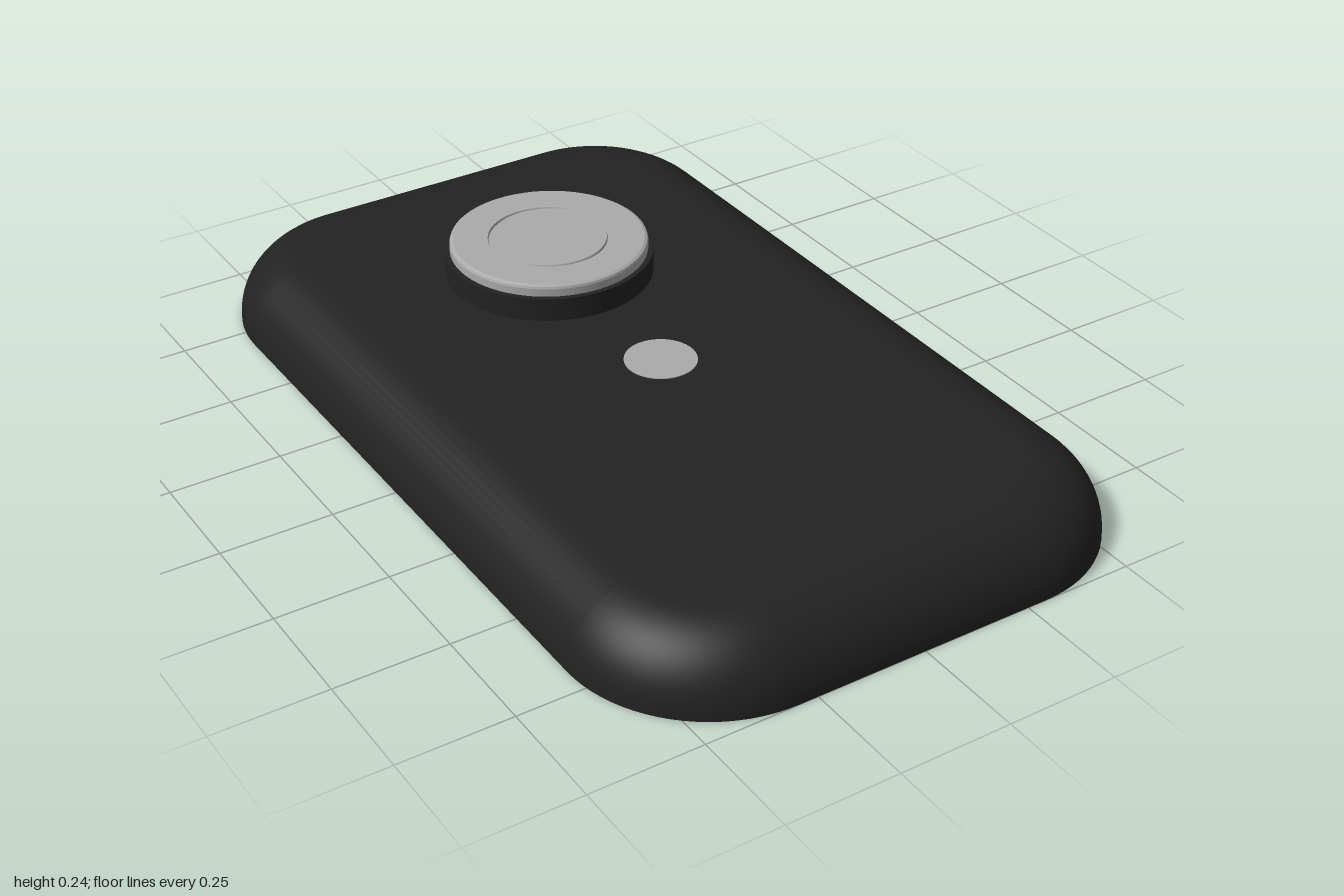
import * as THREE from 'three';

const HALF_W = 0.605, HALF_L = 1, CORNER = 0.31, HEIGHT = 0.16, FILLET = 0.155;
const black = new THREE.MeshStandardMaterial({ color: 0x222222 });
const grey = new THREE.MeshStandardMaterial({ color: 0xaaaaaa });

// Rounded-rectangle outline, pulled inwards by inset, as [x, z] points
function outline(inset, steps = 20) {
  const pts = [], r = CORNER - inset;
  const cx = HALF_W - CORNER, cz = HALF_L - CORNER;
  [[1, 1], [-1, 1], [-1, -1], [1, -1]].forEach(([sx, sz], q) => {
    for (let i = 0; i <= steps; i++) {
      const a = (q + i / steps) * Math.PI / 2;
      pts.push([sx * cx + r * Math.cos(a), sz * cz + r * Math.sin(a)]);
    }
  });
  return pts;
}

// Side wall lofted through the outline along a quarter-round edge
function shellGeometry() {
  const pos = [], idx = [], rings = 16;
  const n = outline(0).length;
  for (let k = -1; k <= rings; k++) {
    const a = Math.max(k, 0) / rings * Math.PI / 2;
    const y = k < 0 ? 0 : HEIGHT - FILLET + FILLET * Math.sin(a);
    for (const [x, z] of outline(FILLET * (1 - Math.cos(a)))) pos.push(x, y, z);
  }
  for (let k = 0; k <= rings; k++) {
    for (let i = 0; i < n; i++) {
      const a = k * n + i, b = k * n + (i + 1) % n;
      idx.push(a, a + n, b, b, a + n, b + n);
    }
  }
  const g = new THREE.BufferGeometry();
  g.setAttribute('position', new THREE.Float32BufferAttribute(pos, 3));
  g.setIndex(idx);
  g.computeVertexNormals();
  return g;
}

// Flat cap facing up or down
function capGeometry(inset, y, up) {
  const shape = new THREE.Shape(outline(inset).map(([x, z]) => new THREE.Vector2(x, z)));
  return new THREE.ShapeGeometry(shape).rotateX(up ? -Math.PI / 2 : Math.PI / 2).translate(0, y, 0);
}

// Turned part; every straight run gets its own lathe so its edges stay crisp
function turned(name, profile, material) {
  const group = new THREE.Group();
  group.name = name;
  for (let i = 0; i < profile.length - 1; i++) {
    const pair = [profile[i], profile[i + 1]].map(([r, y]) => new THREE.Vector2(r, y));
    const mesh = new THREE.Mesh(new THREE.LatheGeometry(pair, 72), material);
    mesh.name = name + 'Surface';
    group.add(mesh);
  }
  return group;
}

export function createModel() {
  const model = new THREE.Group();
  model.name = 'remote';
  const add = (name, geometry, material) => {
    const mesh = new THREE.Mesh(geometry, material);
    mesh.name = name;
    model.add(mesh);
  };

  // Case
  add('caseWall', shellGeometry(), black);
  add('caseTop', capGeometry(FILLET, HEIGHT, true), black);
  add('caseBottom', capGeometry(0, 0, false), black);

  // Raised collar and dial with a fine groove around its centre
  const collar = turned('dialCollar', [[0.235, 0.15], [0.235, 0.214], [0, 0.214]], black);
  const dial = turned('dial', [
    [0.223, 0.21], [0.223, 0.232], [0.221, 0.237], [0.215, 0.24],
    [0.137, 0.24], [0.135, 0.235], [0.132, 0.235], [0.13, 0.24], [0, 0.24],
  ], grey);
  for (const part of [collar, dial]) {
    part.position.z = -0.395;
    model.add(part);
  }

  // Small flush button
  const button = turned('smallButton', [[0.079, 0.15], [0.079, 0.162], [0, 0.162]], grey);
  button.position.z = 0.07;
  model.add(button);

  return model;
}
